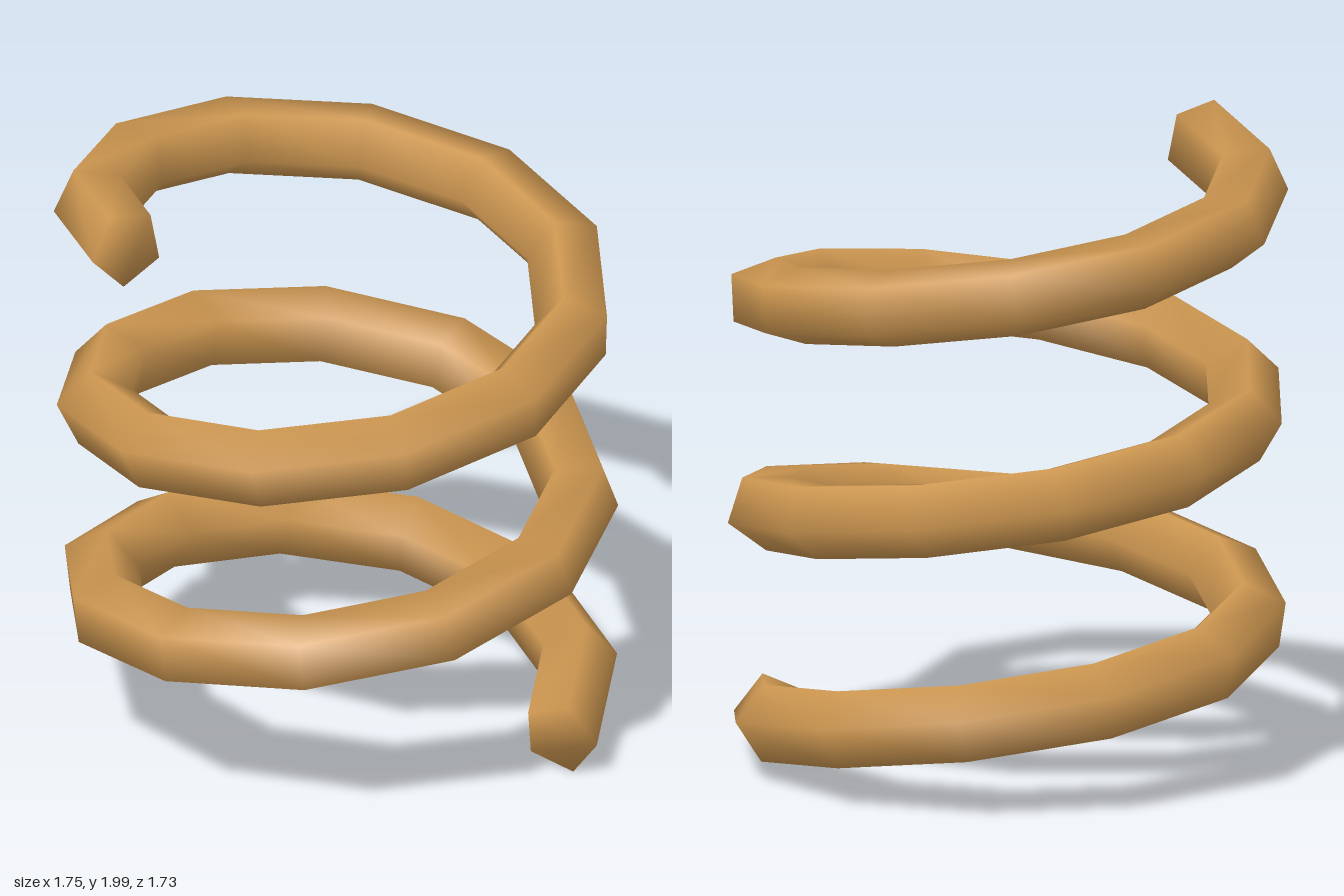
import * as THREE from 'three';
import { mergeVertices } from 'three/addons/utils/BufferGeometryUtils.js';

const TURNS = 2.65, RADIUS = 0.75, WIRE = 0.125, SEGMENTS = 30, SIDES = 5;
const Y_START = 0.12, Y_END = 1.88;

// Centre line of the spring, rising from the +x side towards the back
class Helix extends THREE.Curve {
  getPoint(t, target = new THREE.Vector3()) {
    const a = t * TURNS * Math.PI * 2;
    return target.set(
      RADIUS * Math.cos(a),
      THREE.MathUtils.lerp(Y_START, Y_END, t),
      -RADIUS * Math.sin(a)
    );
  }
}

// Five-sided tube with closed ends, smoothed across every edge
function coilGeometry() {
  const geo = new THREE.TubeGeometry(new Helix(), SEGMENTS, WIRE, SIDES, false);
  const index = Array.from(geo.index.array);
  const last = SEGMENTS * (SIDES + 1);
  for (let i = 1; i < SIDES - 1; i++) {
    index.push(0, i, i + 1);
    index.push(last, last + i + 1, last + i);
  }
  geo.setIndex(index);
  geo.deleteAttribute('uv');
  geo.deleteAttribute('normal');
  const merged = mergeVertices(geo, 1e-4);
  merged.computeVertexNormals();
  return merged;
}

export function createModel() {
  const model = new THREE.Group();
  model.name = 'spring';

  const copper = new THREE.MeshStandardMaterial({ color: 0xcc9650 });
  copper.name = 'copper';

  const coil = new THREE.Mesh(coilGeometry(), copper);
  coil.name = 'coil';
  model.add(coil);
  return model;
}
